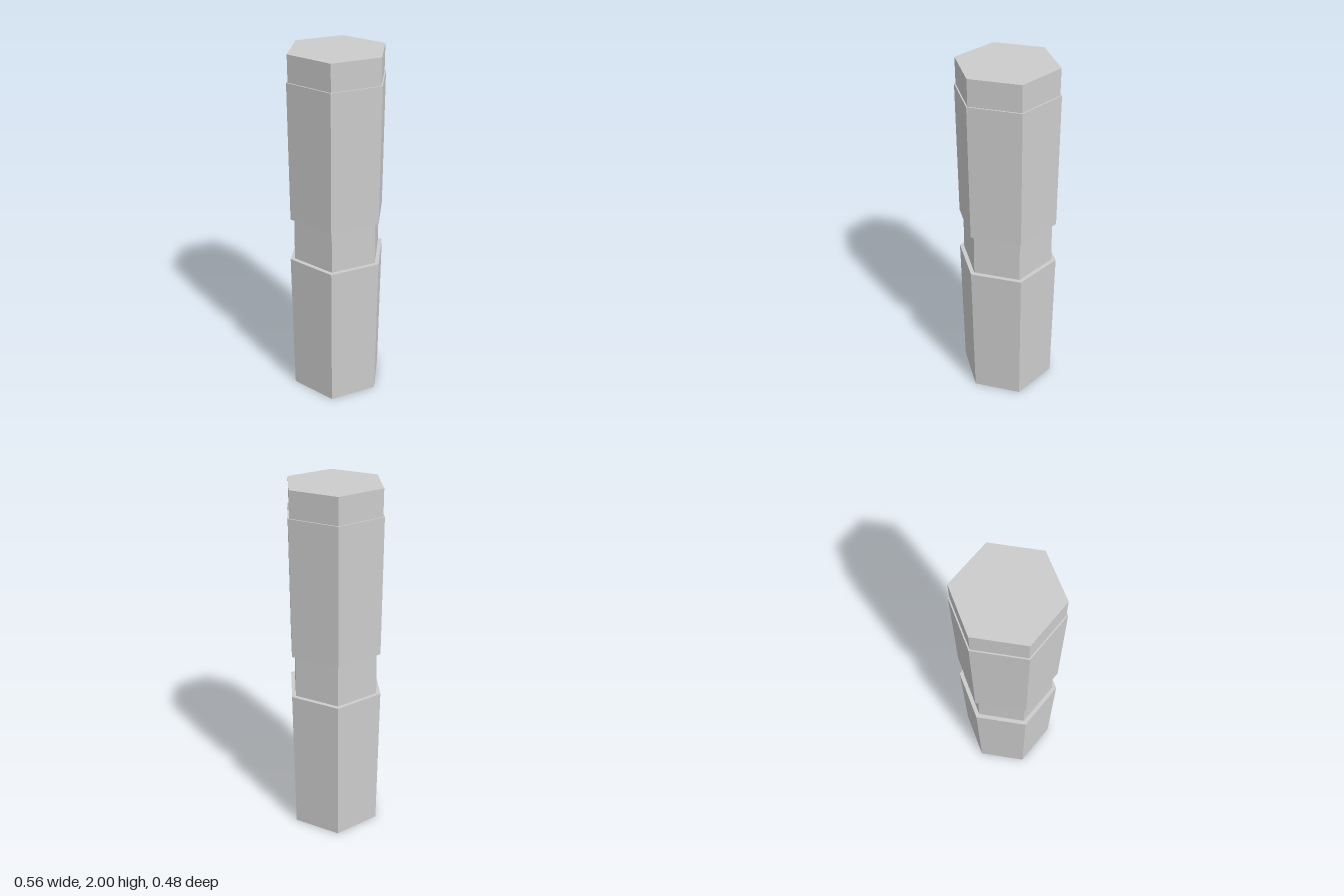
import * as THREE from 'three';

export function createModel() {
  const group = new THREE.Group();
  const material = new THREE.MeshStandardMaterial({ color: 0xcccccc, flatShading: true });

  // Hexagonal section with a corner on the x axis
  const addSection = (name, y0, y1, bottomRadius, topRadius) => {
    const geometry = new THREE.CylinderGeometry(topRadius, bottomRadius, y1 - y0, 6, 1, false, Math.PI / 6);
    geometry.translate(0, (y0 + y1) / 2, 0);
    const mesh = new THREE.Mesh(geometry, material);
    mesh.name = name;
    group.add(mesh);
  };

  addSection('lowerBody', 0, 0.86, 0.274, 0.28);
  addSection('neck', 0.86, 1.105, 0.255, 0.251);
  addSection('upperBody', 1.105, 1.86, 0.273, 0.273);
  addSection('topCap', 1.86, 2, 0.265, 0.265);

  return group;
}
